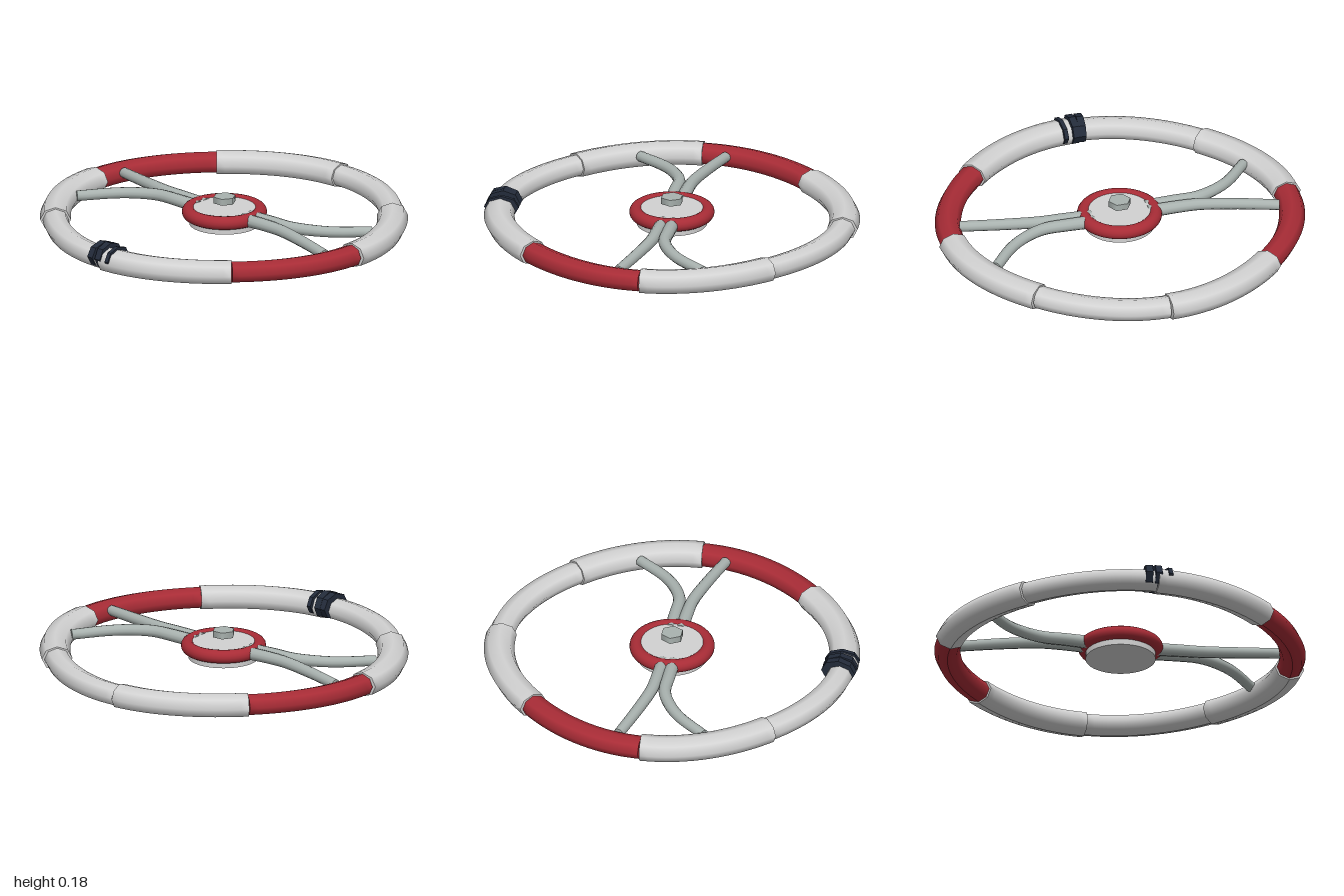
import * as THREE from 'three';

const mat = (name, color) => Object.assign(new THREE.MeshStandardMaterial({ color }), { name });

// Capped tube along a curve: width rx and height ry run from a start to an end value
function sweep(curve, rx, ry, sides, steps, rxEnd = rx, ryEnd = ry) {
  const geo = new THREE.CylinderGeometry(1, 1, 1, sides, steps, false, Math.PI);
  const p = geo.attributes.position;
  const up = new THREE.Vector3(0, 1, 0);
  const side = new THREE.Vector3();
  for (let i = 0; i < p.count; i++) {
    const t = THREE.MathUtils.clamp(p.getY(i) + 0.5, 0, 1);
    const c = curve.getPoint(t);
    side.crossVectors(curve.getTangent(t), up).normalize();
    c.addScaledVector(side, p.getX(i) * THREE.MathUtils.lerp(rx, rxEnd, t));
    c.y += p.getZ(i) * THREE.MathUtils.lerp(ry, ryEnd, t);
    p.setXYZ(i, c.x, c.y, c.z);
  }
  geo.computeVertexNormals();
  return geo;
}

const curveOf = (pts) => new THREE.CatmullRomCurve3(pts.map((q) => new THREE.Vector3(...q)));

export function createModel() {
  const white = mat('offWhite', 0xd2d2d2);
  const red = mat('red', 0xa82c36);
  const metal = mat('greyMetal', 0xa9b2af);
  const dark = mat('darkNavy', 0x232b3a);

  const model = new THREE.Group();
  model.name = 'steeringWheel';
  const add = (name, geo, material, parent = model) => {
    const m = new THREE.Mesh(geo, material);
    m.name = name;
    parent.add(m);
    return m;
  };

  // Rim: eight grips, alternately thick and thin, slightly squared-off circle
  const rim = new THREE.Group();
  rim.name = 'rim';
  model.add(rim);
  for (let s = 0; s < 8; s++) {
    const pts = [];
    for (let i = 0; i <= 8; i++) {
      const a = (s + i / 8) * Math.PI / 4;
      const r = 0.914 - 0.025 * Math.sin(2 * a) ** 2;
      pts.push([r * Math.cos(a) - 0.003, 0.066, -r * Math.sin(a)]);
    }
    const thick = s % 2 === 0;
    const isRed = s === 3 || s === 7;
    add(isRed ? 'redGrip' : 'whiteGrip',
      sweep(curveOf(pts), thick ? 0.081 : 0.069, thick ? 0.066 : 0.058, 8, 16),
      isRed ? red : white, rim);
  }

  // Forked spokes, the second pair turned half way round
  const branches = [
    [[0.15, 0.095, -0.035], [0.3, 0.1, -0.036], [0.43, 0.1, -0.04], [0.54, 0.097, -0.085],
      [0.64, 0.092, -0.158], [0.77, 0.085, -0.312]],
    [[0.15, 0.095, 0.02], [0.3, 0.1, 0.024], [0.43, 0.1, 0.032], [0.63, 0.094, 0.076],
      [0.84, 0.085, 0.133]],
  ];
  for (const turn of [0, Math.PI]) {
    const spoke = new THREE.Group();
    spoke.name = turn ? 'rightSpoke' : 'leftSpoke';
    spoke.rotation.y = turn;
    for (const pts of branches) {
      add('spokeBranch', sweep(curveOf(pts), 0.036, 0.034, 12, 20, 0.028, 0.028), metal, spoke);
    }
    model.add(spoke);
  }

  // Hub: drum, red ring and hexagonal nut
  add('hubDrum', new THREE.CylinderGeometry(0.185, 0.185, 0.092, 48), white).position.y = 0.078;
  const ring = add('hubRing', new THREE.TorusGeometry(0.189, 0.036, 16, 48), red);
  ring.rotation.x = Math.PI / 2;
  ring.position.y = 0.098;
  const nut = add('hubNut', new THREE.CylinderGeometry(0.06, 0.06, 0.035, 6), metal);
  nut.rotation.y = Math.PI / 6;
  nut.position.y = 0.167;

  // Dark straps wrapped round the front of the rim: x, width, height, tilt
  const straps = new THREE.Group();
  straps.name = 'straps';
  model.add(straps);
  for (const [x, w, h, tilt] of [
    [-0.046, 0.038, 0.07, 0.08], [-0.004, 0.036, 0.073, -0.04], [0.056, 0.022, 0.062, -0.08],
  ]) {
    const geo = new THREE.CylinderGeometry(1, 1, w, 8).toNonIndexed();
    geo.rotateZ(Math.PI / 2);
    geo.scale(1, h, 0.092);
    geo.computeVertexNormals();
    const strap = add('strap', geo, dark, straps);
    strap.position.set(x, 0.083, 0.903);
    strap.rotation.y = -tilt;
  }
  return model;
}
